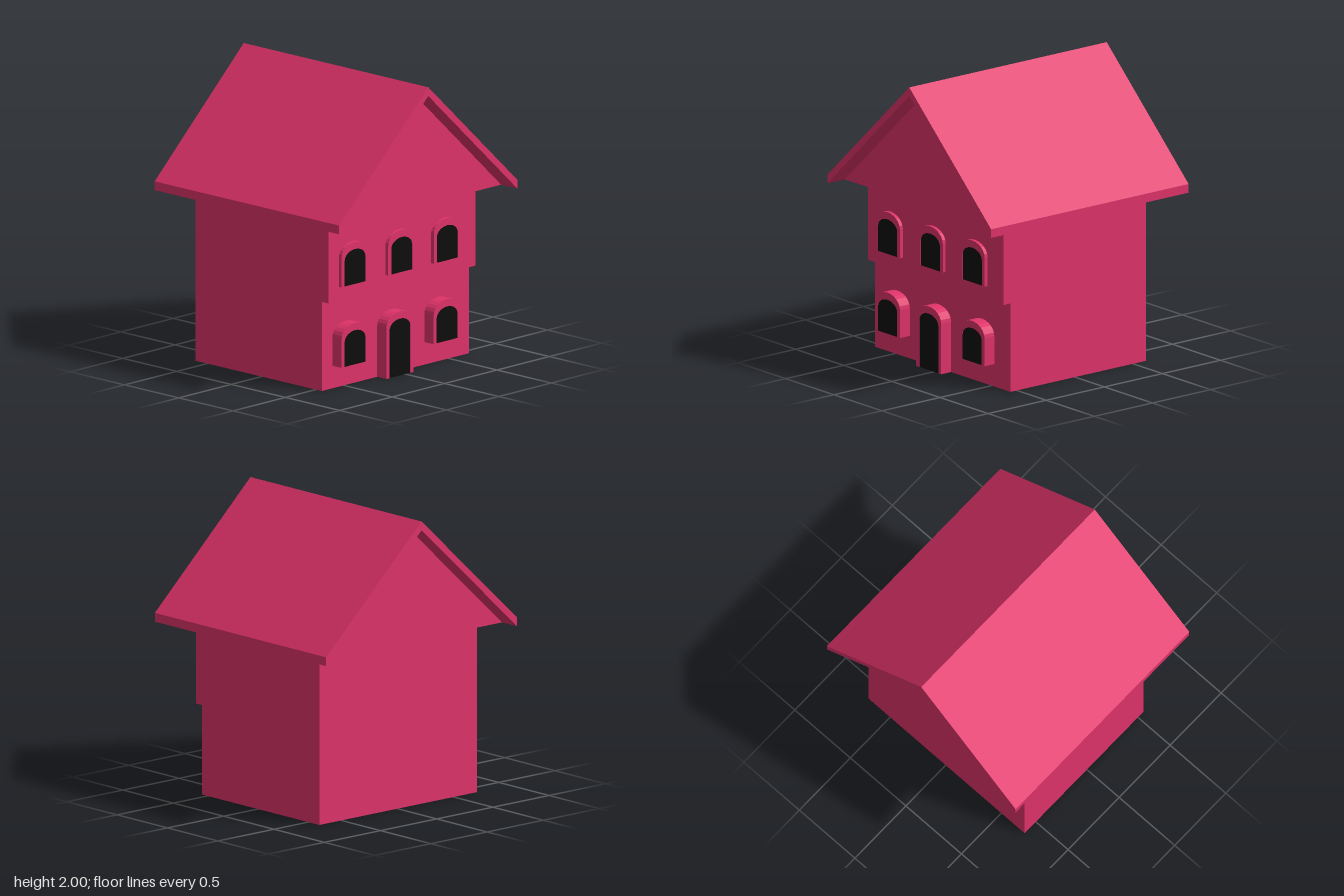
import * as THREE from 'three';

const pink = new THREE.MeshStandardMaterial({ color: 0xe0336a, flatShading: true });
const black = new THREE.MeshStandardMaterial({ color: 0x0d0d0d, flatShading: true });

// Extrudes a shape drawn in (z, y) between two x positions
function extrudeX(name, shape, x0, x1, material = pink) {
  const geo = new THREE.ExtrudeGeometry(shape, { depth: x1 - x0, bevelEnabled: false });
  geo.rotateY(-Math.PI / 2).translate(x1, 0, 0);
  const mesh = new THREE.Mesh(geo, material);
  mesh.name = name;
  return mesh;
}

function polygon(points) {
  return new THREE.Shape(points.map(([z, y]) => new THREE.Vector2(z, y)));
}

// Outline running up the +z jamb, over a flattened arch and down the other jamb
function archPoints(z, halfWidth, bottom, spring, top, segments = 12) {
  const points = [[z + halfWidth, bottom]];
  for (let i = 0; i <= segments; i++) {
    const a = (Math.PI * i) / segments;
    points.push([z + halfWidth * Math.cos(a), spring + (top - spring) * Math.sin(a)]);
  }
  points.push([z - halfWidth, bottom]);
  return points;
}

// Arched surround, open at the sill, with a dark pane almost flush with its face
function archedOpening(name, z, bottom, top, wallX) {
  const group = new THREE.Group();
  group.name = name;
  const outer = archPoints(z, 0.13, bottom, top - 0.092, top);
  const inner = archPoints(z, 0.1, bottom, top - 0.115, top - 0.05);
  group.add(
    extrudeX('surround', polygon([...outer, ...inner.slice().reverse()]), wallX - 0.01, 0.64),
    extrudeX('pane', polygon(inner), wallX - 0.01, 0.637, black)
  );
  return group;
}

function box(name, x0, x1, y0, y1, z0, z1) {
  const mesh = new THREE.Mesh(new THREE.BoxGeometry(x1 - x0, y1 - y0, z1 - z0), pink);
  mesh.position.set((x0 + x1) / 2, (y0 + y1) / 2, (z0 + z1) / 2);
  mesh.name = name;
  return mesh;
}

export function createModel() {
  const house = new THREE.Group();
  house.name = 'house';

  // Two storeys, the upper one overhanging the facade
  const lowerX = 0.555, upperX = 0.615;
  house.add(
    box('lowerStorey', -0.61, lowerX, 0, 0.61, -0.695, 0.71),
    box('upperStorey', -0.61, upperX, 0.61, 1.15, -0.695, 0.71)
  );

  // Attic set back inside the overhanging roof
  house.add(
    extrudeX('attic', polygon([[0.85, 1.15], [0, 1.94], [-0.85, 1.15]]), -0.7, 0.7),
    extrudeX('roof', polygon([
      [0.85, 1.15], [0.85, 1.21], [0, 2], [-0.85, 1.21], [-0.85, 1.15], [0, 1.94]
    ]), -0.85, 0.85)
  );

  // Windows and door on the facade
  for (const z of [0.48, 0.035, -0.4]) {
    house.add(archedOpening('upperWindow', z, 0.705, 0.995, upperX));
  }
  for (const z of [0.48, -0.398]) {
    house.add(archedOpening('lowerWindow', z, 0.155, 0.44, lowerX));
  }
  house.add(archedOpening('door', 0.052, 0, 0.44, lowerX));

  return house;
}
